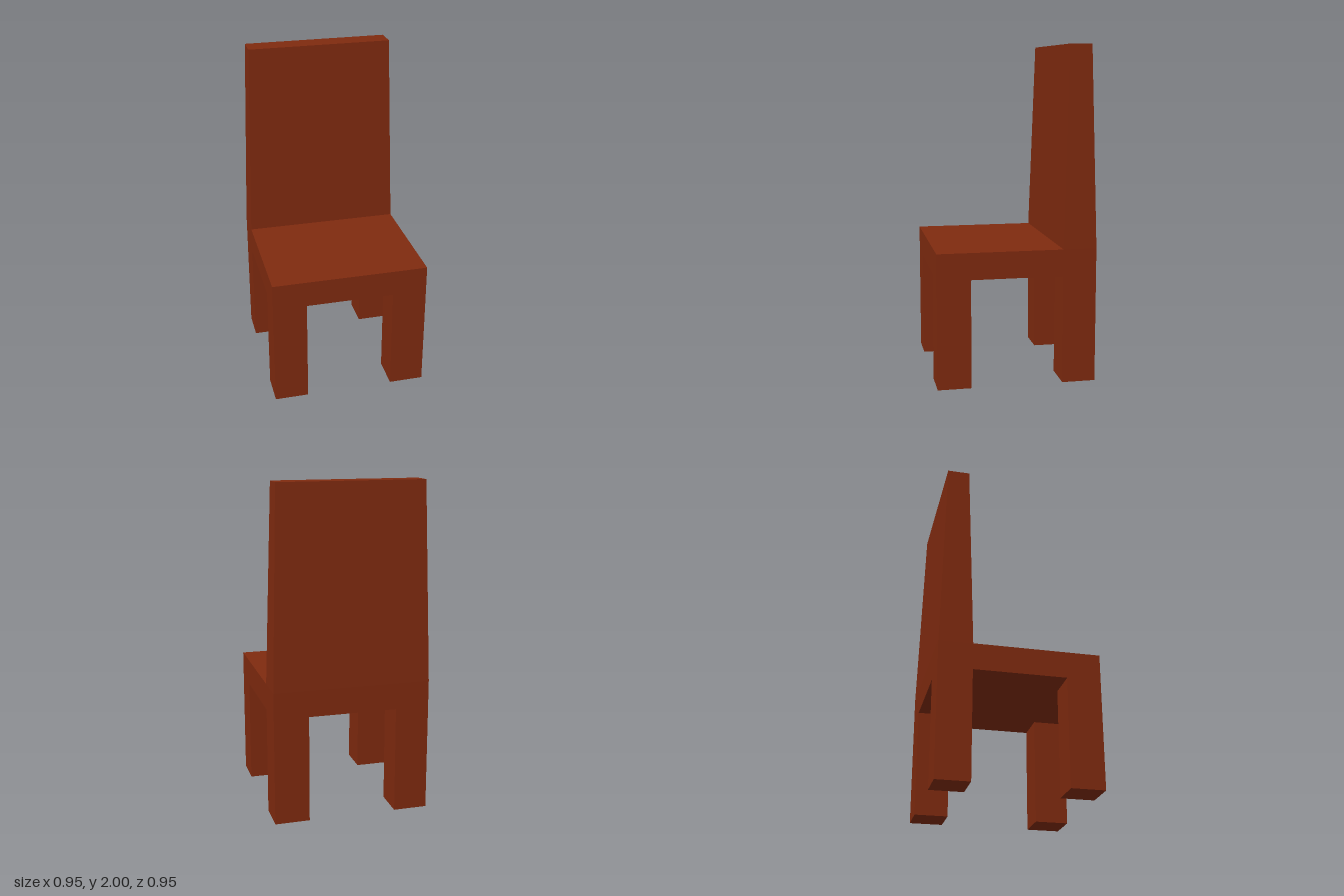
import * as THREE from 'three';

const wood = new THREE.MeshStandardMaterial({ color: 0x7f2a0f, flatShading: true });

// Box spanning the given x, y and z ranges
function block(name, [x0, x1], [y0, y1], [z0, z1]) {
  const geometry = new THREE.BoxGeometry(x1 - x0, y1 - y0, z1 - z0);
  geometry.translate((x0 + x1) / 2, (y0 + y1) / 2, (z0 + z1) / 2);
  const mesh = new THREE.Mesh(geometry, wood);
  mesh.name = name;
  return mesh;
}

export function createModel() {
  const chair = new THREE.Group();
  chair.name = 'chair';
  const half = 0.475, seatBottom = 0.65, seatTop = 0.81;

  // Seat slab
  chair.add(block('seat', [-half, half], [seatBottom, seatTop], [-half, half]));

  // Four square legs, flush with the seat corners
  const sides = [['Right', [-half, -0.27]], ['Left', [0.265, half]]];
  const ends = [['front', [0.275, half]], ['back', [-half, -0.275]]];
  for (const [side, xs] of sides) {
    for (const [end, zs] of ends) {
      chair.add(block(`${end}${side}Leg`, xs, [0, seatBottom], zs));
    }
  }

  // Backrest, tapering on all four sides towards the top
  const backrest = block('backrest', [-half, half], [seatTop, 2], [-half, -0.275]);
  const position = backrest.geometry.attributes.position;
  for (let i = 0; i < position.count; i++) {
    if (position.getY(i) < 1.9) continue;
    position.setX(i, Math.sign(position.getX(i)) * 0.44);
    position.setZ(i, position.getZ(i) < -0.4 ? -0.443 : -0.31);
  }
  backrest.geometry.computeVertexNormals();
  chair.add(backrest);

  return chair;
}
